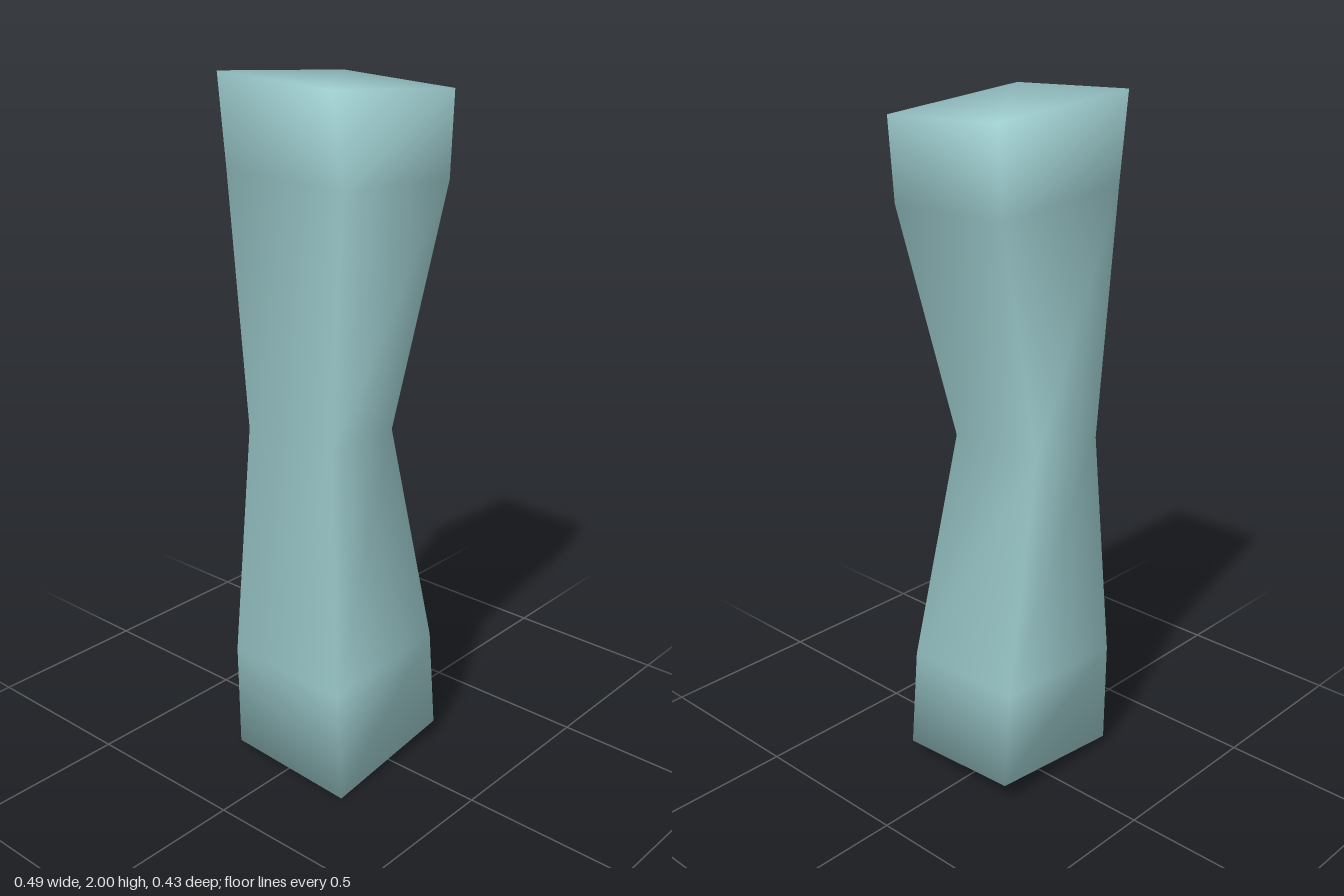
import * as THREE from 'three';

// Four-sided cross-sections from bottom to top.
// Corners run front-left, front-right, back-right, back-left as seen from +z.
const rings = [
  [[-0.24, 0, 0.215], [0.2, 0.045, 0.207], [0.2, 0.065, -0.18], [-0.243, 0.025, -0.185]],
  [[-0.243, 0.33, 0.2], [0.185, 0.35, 0.195], [0.185, 0.36, -0.185], [-0.245, 0.34, -0.188]],
  [[-0.2, 1.03, 0.143], [0.055, 1.03, 0.143], [0.055, 1.03, -0.16], [-0.2, 1.03, -0.16]],
  [[-0.22, 1.74, 0.2], [0.215, 1.71, 0.2], [0.217, 1.72, -0.19], [-0.222, 1.75, -0.2]],
  [[-0.23, 1.983, 0.174], [0.243, 1.945, 0.189], [0.245, 1.963, -0.2], [-0.23, 2, -0.217]],
];

// Joins the rings into one closed skin with shared, smooth normals.
function loft(sections) {
  const n = sections[0].length;
  const last = (sections.length - 1) * n;
  const index = [];
  for (let r = 0; r < sections.length - 1; r++) {
    for (let i = 0; i < n; i++) {
      const a = r * n + i;
      const b = r * n + ((i + 1) % n);
      index.push(a, b, b + n, a, b + n, a + n);
    }
  }
  // end caps
  index.push(0, 3, 1, 1, 3, 2);
  index.push(last, last + 1, last + 2, last, last + 2, last + 3);

  const geometry = new THREE.BufferGeometry();
  geometry.setAttribute('position', new THREE.Float32BufferAttribute(sections.flat(2), 3));
  geometry.setIndex(index);
  geometry.computeVertexNormals();
  return geometry;
}

export function createModel() {
  const group = new THREE.Group();
  group.name = 'waistedPillar';
  const shaft = new THREE.Mesh(loft(rings), new THREE.MeshStandardMaterial({ color: 0x9ccacc }));
  shaft.name = 'shaft';
  group.add(shaft);
  return group;
}
